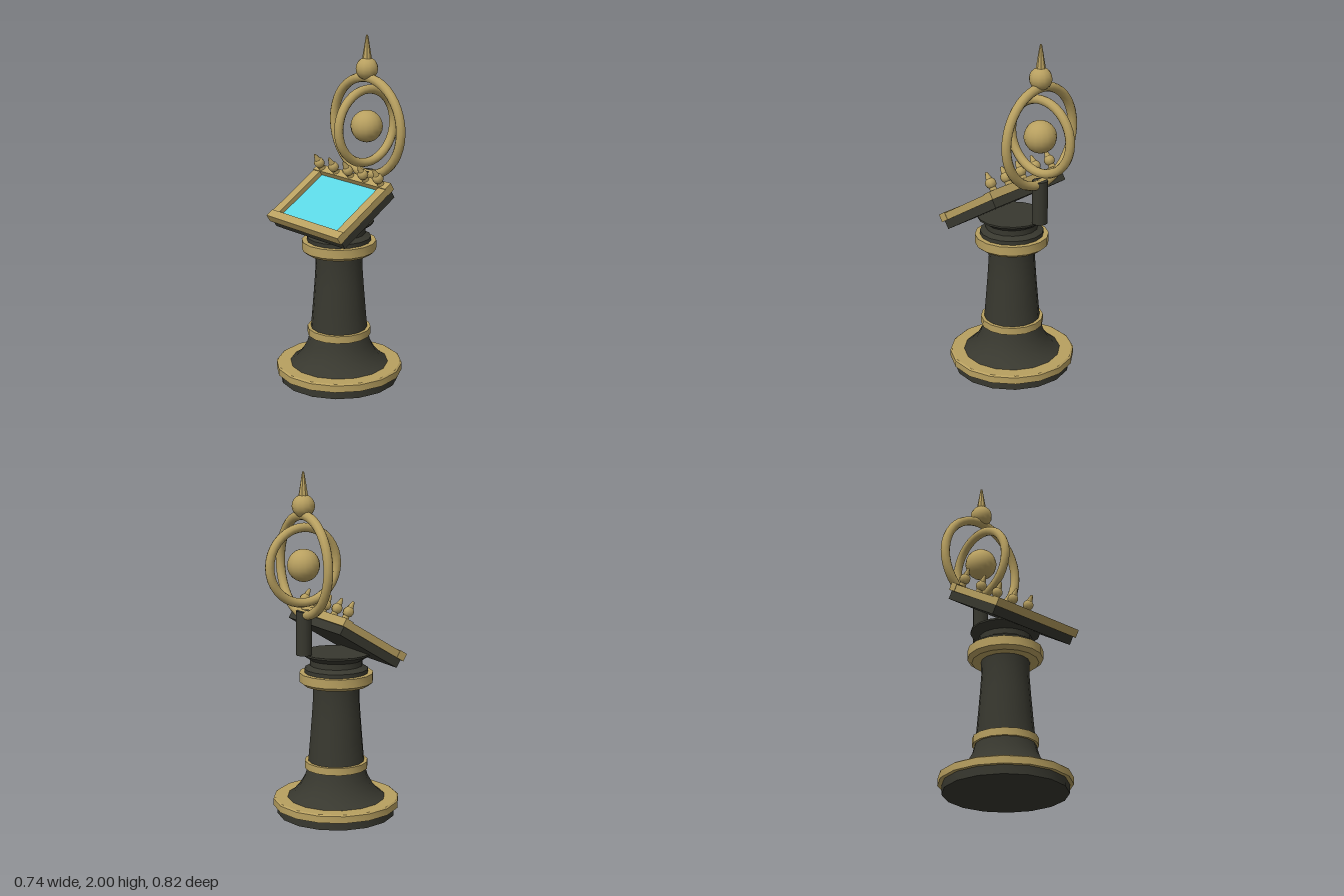
import * as THREE from 'three';
import { toCreasedNormals } from 'three/addons/utils/BufferGeometryUtils.js';

const dark = new THREE.MeshStandardMaterial({ name: 'dark iron', color: 0x38382f });
const brass = new THREE.MeshStandardMaterial({ name: 'brass', color: 0xb8a060 });
const glass = new THREE.MeshStandardMaterial({ name: 'cyan screen', color: 0x5bd5e2 });

function add(parent, name, geometry, material, x = 0, y = 0, z = 0) {
  const mesh = new THREE.Mesh(geometry, material);
  mesh.name = name;
  mesh.position.set(x, y, z);
  parent.add(mesh);
  return mesh;
}

// Turned solid from [radius, height] pairs, bottom to top
function turned(points, sides = 16) {
  const lathe = new THREE.LatheGeometry(points.map(([r, y]) => new THREE.Vector2(r, y)), sides);
  return toCreasedNormals(lathe, 0.6);
}

// Box given by its min and max corners
function slab(parent, name, material, x0, x1, y0, y1, z0, z1) {
  return add(parent, name, new THREE.BoxGeometry(x1 - x0, y1 - y0, z1 - z0), material,
    (x0 + x1) / 2, (y0 + y1) / 2, (z0 + z1) / 2);
}

function buildPedestal() {
  const g = new THREE.Group();
  g.name = 'pedestal';
  g.position.z = 0.04;
  add(g, 'basePlinth', turned([[0, 0], [0.347, 0], [0.347, 0.05], [0, 0.05]]), dark);
  add(g, 'baseRing', turned([[0, 0.05], [0.37, 0.05], [0.37, 0.09], [0.36, 0.097], [0, 0.097]]), brass);
  add(g, 'flaredFoot', turned([[0.29, 0.095], [0.25, 0.123], [0.215, 0.165], [0.187, 0.215], [0.17, 0.275]]), dark);
  add(g, 'lowerCollar', turned([[0, 0.272], [0.185, 0.272], [0.185, 0.315], [0, 0.315]]), brass);
  add(g, 'columnShaft', turned([[0.165, 0.312], [0.155, 0.43], [0.143, 0.58], [0.135, 0.7], [0.139, 0.78]]), dark);
  add(g, 'upperCollar', turned([[0, 0.77], [0.19, 0.77], [0.215, 0.79], [0.215, 0.843], [0, 0.843]]), brass);
  add(g, 'capital', turned([[0.185, 0.84], [0.185, 0.866], [0.152, 0.885], [0.152, 0.918],
    [0.2, 0.95], [0.2, 0.96], [0, 0.96]]), dark);
  return g;
}

// Sloped console: local y is the panel normal, local -z runs up the slope
function buildPanel() {
  const g = new THREE.Group();
  g.name = 'controlPanel';
  g.position.set(0, 0.9, 0.26);
  g.rotation.x = 0.549;
  slab(g, 'panelBody', dark, -0.3, 0.3, 0, 0.06, -0.434, 0);
  slab(g, 'screen', glass, -0.247, 0.247, 0.06, 0.068, -0.397, -0.038);
  slab(g, 'frameFront', brass, -0.31, 0.31, 0.05, 0.097, -0.036, 0.015);
  slab(g, 'frameBack', brass, -0.31, 0.31, 0.05, 0.097, -0.449, -0.398);
  for (const s of [-1, 1]) {
    const bar = slab(g, 'frameSide', brass, -0.029, 0.029, 0.05, 0.092, -0.4, -0.034);
    bar.position.x = s * 0.279;
  }
  // Row of pointed knobs on the upper rail
  for (let i = -2; i <= 2; i++) {
    const knob = new THREE.Group();
    knob.name = 'knob';
    knob.position.set(i * 0.1255, 0.095, -0.423);
    add(knob, 'knobStem', new THREE.CylinderGeometry(0.018, 0.022, 0.03, 8), brass, 0, 0.01);
    add(knob, 'knobBall', new THREE.SphereGeometry(0.032, 8, 6), brass, 0, 0.044);
    add(knob, 'knobTip', new THREE.CylinderGeometry(0.007, 0.02, 0.045, 8), brass, 0, 0.086);
    g.add(knob);
  }
  return g;
}

function buildArmillary() {
  const g = new THREE.Group();
  g.name = 'armillary';
  g.position.set(0, 1.478, -0.172);
  add(g, 'supportPost', new THREE.CylinderGeometry(0.045, 0.045, 0.255, 10), dark, 0, -0.386);
  add(g, 'outerRing', new THREE.TorusGeometry(0.281, 0.027, 10, 40), brass);
  add(g, 'innerRing', new THREE.TorusGeometry(0.213, 0.026, 10, 36), brass).rotation.y = Math.PI / 2;
  add(g, 'coreSphere', new THREE.SphereGeometry(0.093, 16, 12), brass);
  add(g, 'finialBall', new THREE.SphereGeometry(0.065, 12, 10), brass, 0, 0.332);
  add(g, 'finialSpike', turned([[0.03, 0.375], [0.008, 0.51], [0.005, 0.522], [0, 0.522]], 8), brass);
  return g;
}

export function createModel() {
  const model = new THREE.Group();
  model.name = 'pedestalConsole';
  model.add(buildPedestal(), buildPanel(), buildArmillary());
  return model;
}
